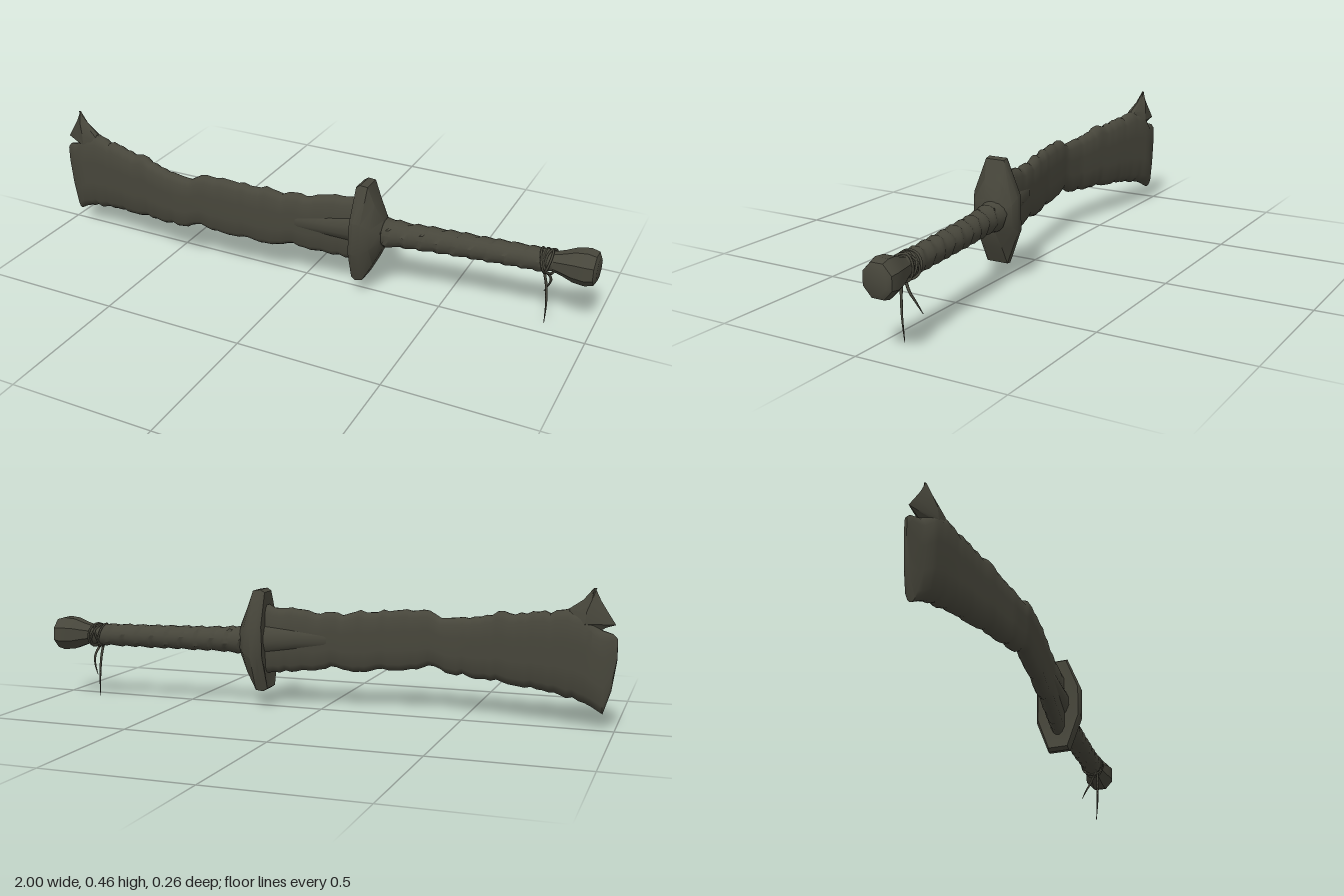
import * as THREE from 'three';
import { toCreasedNormals } from 'three/addons/utils/BufferGeometryUtils.js';

const iron = new THREE.MeshStandardMaterial({ color: 0x47463b });
iron.name = 'dark iron';

// Linear lookup in a flat list of x, value pairs
function lookup(t, x) {
  if (x <= t[0]) return t[1];
  for (let i = 2; i < t.length; i += 2) {
    if (x <= t[i]) return t[i - 1] + ((t[i + 1] - t[i - 1]) * (x - t[i - 2])) / (t[i] - t[i - 2]);
  }
  return t[t.length - 1];
}

// Curved centre line of the whole sword, seen from above
const SPINE = [-1, 0.01, -0.9, 0.028, -0.8, 0.045, -0.6, 0.08, -0.48, 0.1, -0.38, 0.105, -0.2, 0.085,
  0, 0.05, 0.2, 0.013, 0.3, -0.008, 0.5, -0.035, 0.8, -0.062, 1, -0.082];
const spine = (x) => lookup(SPINE, x);

// Closed skin over a row of rings of equal length
function loft(name, rings, crease = 0.6) {
  const n = rings[0].length, pos = [], index = [];
  const mean = (r) => [0, 1, 2].map((k) => r.reduce((s, p) => s + p[k], 0) / n);
  rings.forEach((r) => r.forEach((p) => pos.push(...p)));
  pos.push(...mean(rings[0]), ...mean(rings[rings.length - 1]));
  const c0 = rings.length * n, last = c0 - n;
  for (let j = 0; j < n; j++) {
    const k = (j + 1) % n;
    for (let i = 0; i < rings.length - 1; i++) {
      const a = i * n + j, b = i * n + k;
      index.push(a, b, a + n, b, b + n, a + n);
    }
    index.push(c0, k, j, c0 + 1, last + j, last + k);
  }
  const g = new THREE.BufferGeometry();
  g.setAttribute('position', new THREE.Float32BufferAttribute(pos, 3));
  g.setIndex(index);
  const mesh = new THREE.Mesh(toCreasedNormals(g.toNonIndexed(), crease), iron);
  mesh.name = name;
  return mesh;
}

// Elliptic ring across the sword at x
function ring(x, y, ry, rz, sides, bump = () => 1) {
  return Array.from({ length: sides }, (_, i) => {
    const a = ((i + 0.5) / sides) * Math.PI * 2, b = bump(a);
    return [x, y + Math.cos(a) * ry * b, spine(x) + Math.sin(a) * rz * b];
  });
}

function makeBlade() {
  const top = [-1, 0.3, -0.985, 0.315, -0.945, 0.326, -0.9, 0.37, -0.84, 0.385, -0.8, 0.375, -0.75, 0.37,
    -0.68, 0.36, -0.6, 0.36, -0.52, 0.335, -0.4, 0.33, -0.35, 0.35, -0.15, 0.345, -0.05, 0.33, 0.1, 0.343, 0.22, 0.362];
  const bottom = [-1, 0.23, -0.985, 0.13, -0.96, 0.052, -0.92, 0.075, -0.87, 0.095, -0.75, 0.11, -0.6, 0.127,
    -0.42, 0.14, -0.37, 0.168, -0.33, 0.146, -0.2, 0.138, -0.06, 0.13, -0.03, 0.142, 0.1, 0.128, 0.22, 0.108];
  const thick = [-1, 0.004, -0.96, 0.02, -0.92, 0.033, -0.8, 0.03, -0.4, 0.026, 0.22, 0.027];
  // height across the blade, thickness share
  const section = [[1, 0.2], [0.93, 0.6], [0.78, 0.95], [0.3, 1], [-0.3, 1], [-0.78, 0.95], [-0.93, 0.6], [-1, 0.2]];
  const xs = [-1, -0.985, -0.96, -0.945, -0.92, -0.9];
  for (let x = -0.88; x < 0.23; x += 0.02) xs.push(x);
  let seed = 7;
  const rand = () => (seed = (seed * 16807) % 2147483647) / 2147483647 - 0.5;
  const rings = xs.map((x) => {
    const worn = x > -0.89 ? 0.013 : 0;
    const t = lookup(top, x) + rand() * worn, b = lookup(bottom, x) + rand() * worn;
    const h = lookup(thick, x), mid = (t + b) / 2, half = (t - b) / 2;
    const front = section.map(([v, w]) => [x, mid + v * half, spine(x) + w * h]);
    const back = section.map(([v, w]) => [x, mid + v * half, spine(x) - w * h]).reverse();
    return [...front, ...back];
  });
  return loft('blade', rings, 0.7);
}

// Pointed horn at the upper corner of the tip: y, left x, right x, half thickness
function makeHorn() {
  const rows = [[0.315, -0.93, -0.83, 0.024], [0.334, -0.96, -0.81, 0.03], [0.345, -0.992, -0.8, 0.03],
    [0.385, -0.965, -0.835, 0.027], [0.42, -0.942, -0.885, 0.018], [0.46, -0.922, -0.918, 0.002]];
  return loft('tipHorn', rows.map(([y, x0, x1, h]) => {
    const m = (x0 + x1) / 2, z = (x) => spine(x);
    return [[m, y, z(m) + h], [x1 - 0.01, y, z(x1) + h * 0.5], [x1, y, z(x1)],
      [x1 - 0.01, y, z(x1) - h * 0.5], [m, y, z(m) - h], [x0, y, z(x0)]];
  }), 0.5);
}

function makeGuard() {
  // half height and half width, spread over a long octagon
  const outline = [[0.98, 0.4], [0.32, 0.98], [-0.32, 0.98], [-0.98, 0.45],
    [-0.98, -0.45], [-0.32, -0.98], [0.32, -0.98], [0.98, -0.4]];
  const steps = [[0.205, 0.13, 0.055], [0.2, 0.174, 0.078], [0.215, 0.184, 0.086], [0.24, 0.18, 0.086],
    [0.268, 0.115, 0.075], [0.295, 0.055, 0.045]];
  return loft('guard', steps.map(([x, h, w], i) =>
    outline.map(([v, u]) => [x + (i > 0 && i < 4 ? v * 0.005 : 0), 0.235 + v * h, 0.015 + u * w - (x - 0.2) * 0.15])), 0.6);
}

function makeGrip() {
  const rings = [], sides = 16;
  const radius = [0.27, 0.055, 0.3, 0.05, 0.36, 0.044, 0.6, 0.041, 0.83, 0.039, 0.85, 0.034, 0.9, 0.036];
  for (let x = 0.27; x <= 0.9; x += 0.0125) {
    const r = lookup(radius, x);
    // overlapping spiral wrap
    const wrap = (a) => {
      const p = (x - 0.27) / 0.056 + a / (Math.PI * 2);
      return 1.07 - 0.15 * (p - Math.floor(p));
    };
    rings.push(ring(x, 0.233, r, r * 0.98, sides, wrap));
  }
  return loft('wrappedGrip', rings, 0.6);
}

function makeCord(name, points, r) {
  const path = new THREE.CatmullRomCurve3(points.map((p) => new THREE.Vector3(...p)));
  const g = new THREE.TubeGeometry(path, 14, r, 5);
  // thin out towards the loose end
  const pos = g.attributes.position, c = new THREE.Vector3(), v = new THREE.Vector3();
  for (let i = 0; i < pos.count; i++) {
    const t = Math.floor(i / 6) / 14;
    path.getPointAt(t, c);
    v.fromBufferAttribute(pos, i).sub(c).multiplyScalar(1 - 0.8 * t * t).add(c);
    pos.setXYZ(i, v.x, v.y, v.z);
  }
  const m = new THREE.Mesh(g, iron);
  m.name = name;
  return m;
}

export function createModel() {
  const sword = new THREE.Group();
  sword.name = 'sword';
  sword.add(makeBlade(), makeHorn(), makeGuard(), makeGrip());

  // Swelling where the tang enters the blade
  sword.add(loft('bladeRib', [[-0.06, 0.03, 0.012], [0, 0.038, 0.03], [0.1, 0.045, 0.037], [0.22, 0.06, 0.046]]
    .map(([x, ry, rz]) => ring(x, 0.24, ry, rz, 12)), 1));

  // Flared, faceted pommel
  sword.add(loft('pommel', [[0.86, 0.034, 0.034], [0.89, 0.044, 0.042], [0.925, 0.059, 0.053],
    [0.965, 0.064, 0.06], [0.992, 0.056, 0.054], [1, 0.04, 0.038]]
    .map(([x, ry, rz]) => ring(x, 0.234, ry, rz, 8)), 0.55));

  // Cord wound around the neck, with two loose ends
  [[0.825, 0.25, 0.1], [0.84, -0.3, 0.2], [0.85, 0.1, -0.3], [0.842, 0.4, -0.15]].forEach(([x, tiltZ, tiltY], i) => {
    const loop = new THREE.Mesh(new THREE.TorusGeometry(0.042, 0.004, 5, 20), iron);
    loop.rotation.set(0, Math.PI / 2 + tiltY, tiltZ, 'ZYX');
    loop.position.set(x, 0.231, spine(x));
    loop.name = 'cordLoop' + (i + 1);
    sword.add(loop);
  });
  sword.add(makeCord('longCordEnd', [[0.835, 0.2, -0.045], [0.845, 0.15, -0.049], [0.85, 0.08, -0.053], [0.848, 0, -0.059]], 0.005));
  sword.add(makeCord('shortCordEnd', [[0.84, 0.195, -0.06], [0.85, 0.16, -0.082], [0.843, 0.13, -0.098], [0.825, 0.09, -0.11]], 0.005));
  return sword;
}
